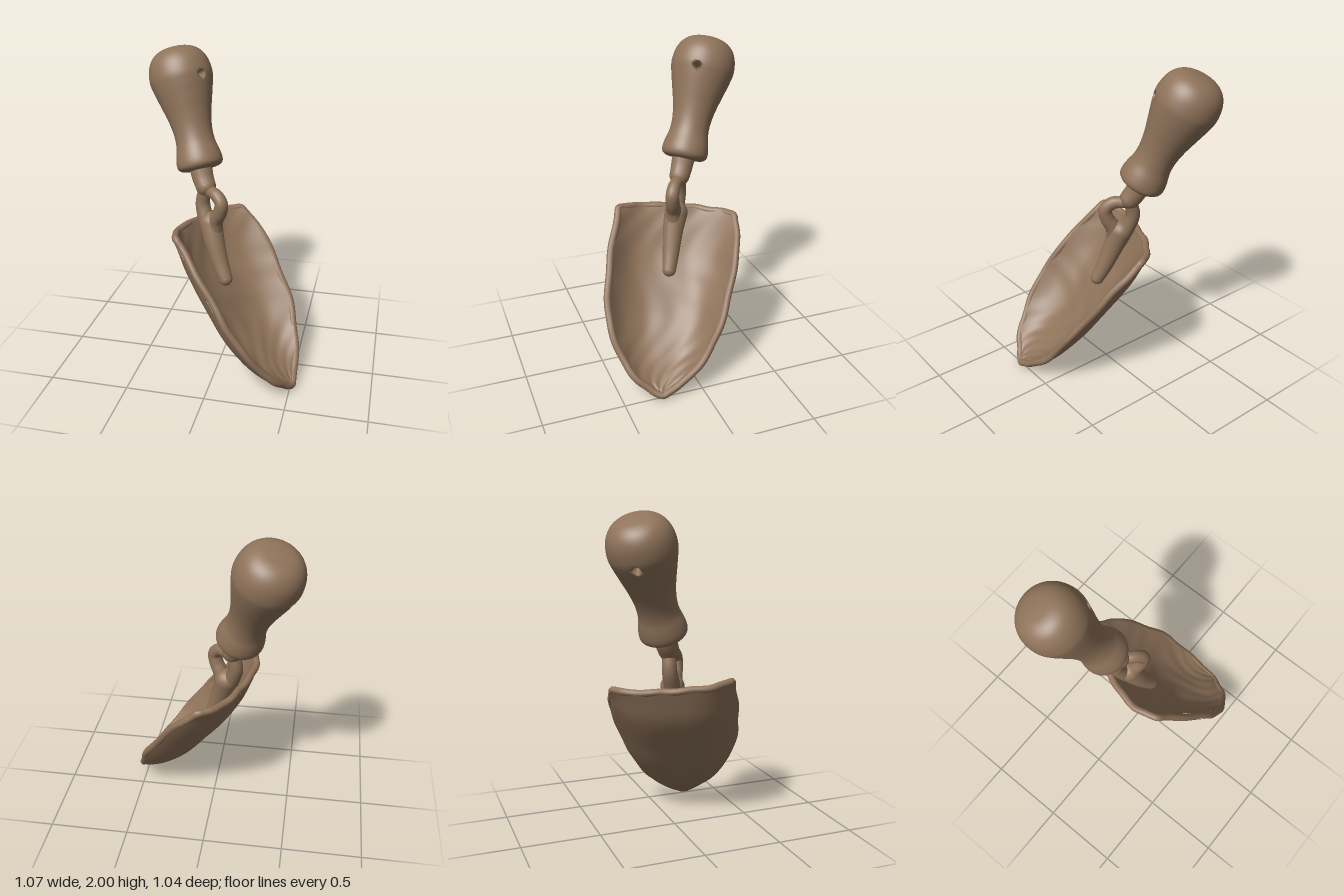
import * as THREE from 'three';
import { mergeGeometries, mergeVertices } from 'three/addons/utils/BufferGeometryUtils.js';

const V = (p) => new THREE.Vector3(...p);
const curve = (pts, closed = false) => new THREE.CatmullRomCurve3(pts.map(V), closed);

export function createModel() {
  const group = new THREE.Group();
  const clay = new THREE.MeshStandardMaterial({ name: 'brown clay', color: 0x8f735a });
  const add = (name, geo) => {
    const mesh = new THREE.Mesh(geo, clay);
    mesh.name = name;
    group.add(mesh);
  };

  // Handle: turned profile (radius, height), leaning back and to one side
  const base = V([-0.16, 1.27, -0.125]);
  const axis = V([-0.296, 0.896, -0.332]).normalize();
  const profile = new THREE.SplineCurve([
    [0, 0], [0.1, 0], [0.138, 0.018], [0.146, 0.05], [0.139, 0.1], [0.123, 0.17], [0.123, 0.25], [0.139, 0.34],
    [0.166, 0.44], [0.19, 0.53], [0.2, 0.595], [0.187, 0.675], [0.15, 0.735], [0.09, 0.769], [0, 0.779],
  ].map(([r, y]) => new THREE.Vector2(r, y))).getSpacedPoints(100);
  profile.forEach((p) => { p.x = Math.max(0, p.x); });
  profile[0].x = profile[100].x = 0;
  const handleGeo = new THREE.LatheGeometry(profile, 96);
  const turn = new THREE.Quaternion().setFromUnitVectors(V([0, 1, 0]), axis);
  handleGeo.applyQuaternion(turn).translate(...base.toArray());

  // Hanging hole sunk into both sides of the head
  const holeMid = base.clone().addScaledVector(axis, 0.56);
  const holeDir = V([0.76, 0.42, 0.46]);
  holeDir.addScaledVector(axis, -holeDir.dot(axis)).normalize();
  const hp = handleGeo.attributes.position;
  const p = new THREE.Vector3();
  for (let i = 0; i < hp.count; i++) {
    p.fromBufferAttribute(hp, i);
    const rel = p.clone().sub(holeMid);
    const along = rel.dot(holeDir);
    if (rel.addScaledVector(holeDir, -along).length() < 0.019) {
      p.addScaledVector(holeDir, -Math.sign(along) * 0.07);
      hp.setXYZ(i, p.x, p.y, p.z);
    }
  }
  handleGeo.deleteAttribute('uv');
  handleGeo.deleteAttribute('normal');
  const smoothHandle = mergeVertices(handleGeo, 1e-4);
  smoothHandle.computeVertexNormals();
  add('handle', smoothHandle);

  // Round bar with ball ends, its radius running from r0 to r1
  const bar = (name, pts, r0, r1) => {
    const path = curve(pts);
    const rows = 40, sides = 16;
    const tube = new THREE.TubeGeometry(path, rows, 1, sides);
    const tp = tube.attributes.position;
    for (let i = 0; i < tp.count; i++) {
      const t = Math.floor(i / (sides + 1)) / rows;
      const c = path.getPointAt(t);
      p.fromBufferAttribute(tp, i).sub(c).multiplyScalar(r0 + (r1 - r0) * t).add(c);
      tp.setXYZ(i, p.x, p.y, p.z);
    }
    const ends = [[pts[0], r0], [pts[pts.length - 1], r1]]
      .map(([c, r]) => new THREE.SphereGeometry(r, 16, 12).translate(...c));
    add(name, mergeGeometries([tube, ...ends]));
  };

  // Shaft, the open loop of the neck, and the tang lying in the blade
  bar('shaft', [[-0.17, 1.3, -0.135], [-0.145, 1.22, -0.107], [-0.122, 1.175, -0.085]], 0.074, 0.064);
  bar('neckFrontStrand', [[-0.1, 1.15, -0.07], [-0.04, 1.145, -0.02], [-0.002, 1.1, 0.008],
    [-0.012, 1.04, 0.003], [-0.045, 0.97, -0.018], [-0.055, 0.88, -0.02]], 0.036, 0.052);
  bar('neckBackStrand', [[-0.128, 1.15, -0.085], [-0.143, 1.06, -0.088], [-0.12, 0.97, -0.065],
    [-0.075, 0.87, -0.03]], 0.042, 0.056);
  bar('tang', [[-0.08, 0.945, -0.045], [-0.052, 0.84, -0.015], [-0.005, 0.7, 0.018], [0.035, 0.605, 0.045]],
    0.074, 0.044);

  // Blade: two side edges and the keel between them, from the back edge to the tip
  const edgeA = curve([[-0.215, 0.97, 0.29], [-0.07, 0.8, 0.385], [0.075, 0.6, 0.46], [0.2, 0.42, 0.495],
    [0.33, 0.24, 0.465], [0.44, 0.105, 0.385], [0.5, 0.025, 0.285]]);
  const edgeB = curve([[0.04, 0.92, -0.395], [0.18, 0.79, -0.355], [0.3, 0.61, -0.27], [0.42, 0.4, -0.155],
    [0.48, 0.22, -0.03], [0.51, 0.09, 0.125], [0.51, 0.025, 0.26]]);
  const keel = curve([[-0.19, 0.935, -0.08], [-0.087, 0.7, -0.014], [0.033, 0.51, 0.056], [0.162, 0.315, 0.128],
    [0.31, 0.165, 0.2], [0.44, 0.075, 0.245], [0.505, 0.025, 0.275]]);
  const surface = (u, v) => {
    const a = edgeA.getPoint(v), b = edgeB.getPoint(v);
    const mid = a.clone().lerp(b, 0.5);
    const sag = keel.getPoint(v).sub(mid);
    return a.lerp(b, u).addScaledVector(sag, 1 - Math.abs(2 * u - 1) ** 3.1);
  };

  // One skin of the blade, moved off the middle surface by its share of the thickness
  const nu = 48, nv = 50;
  const skin = (inside) => {
    const pos = [], index = [];
    for (let j = 0; j <= nv; j++) {
      for (let i = 0; i <= nu; i++) pos.push(...surface(i / nu, j / nv).toArray());
    }
    for (let j = 0; j < nv; j++) {
      for (let i = 0; i < nu; i++) {
        const a = j * (nu + 1) + i, b = a + 1, c = a + nu + 1, d = c + 1;
        index.push(...(inside ? [a, c, b, b, c, d] : [a, b, c, b, d, c]));
      }
    }
    const geo = new THREE.BufferGeometry();
    geo.setAttribute('position', new THREE.Float32BufferAttribute(pos, 3));
    geo.setIndex(index);
    geo.computeVertexNormals();
    const q = geo.attributes.position, n = geo.attributes.normal;
    for (let k = 0; k < q.count; k++) {
      const u = (k % (nu + 1)) / nu, v = Math.floor(k / (nu + 1)) / nv;
      // faint hand-worked unevenness inside, a thicker belly outside
      const extra = inside
        ? 0.003 * Math.sin(u * 19 + 5 * Math.sin(v * 9)) * Math.sin(v * 17 + u * 7)
        : 0.02 * (1 - v) * Math.sqrt(Math.max(0, Math.sin(Math.PI * u))) * Math.min(1, v * 8);
      p.fromBufferAttribute(q, k).addScaledVector(new THREE.Vector3().fromBufferAttribute(n, k), 0.02 + extra);
      q.setXYZ(k, p.x, p.y, p.z);
    }
    geo.computeVertexNormals();
    return geo;
  };
  add('bladeInside', skin(true));
  add('bladeOutside', skin(false));

  // Rounded rim around the whole blade, slightly uneven
  const rimPts = [];
  const n = 24;
  for (let i = 0; i < n; i++) rimPts.push(surface(0, i / n).toArray());
  for (let i = n; i > 0; i--) rimPts.push(surface(1, i / n).toArray());
  for (let i = n; i > 0; i--) rimPts.push(surface(i / n, 0).toArray());
  const wobbly = rimPts.map(([x, y, z], i) => [
    x + 0.003 * Math.sin(i * 1.1), y + 0.003 * Math.sin(i * 0.9 + 1), z + 0.003 * Math.sin(i * 1.3 + 2)]);
  add('bladeRim', new THREE.TubeGeometry(curve(wobbly, true), 240, 0.0225, 12, true));

  return group;
}
